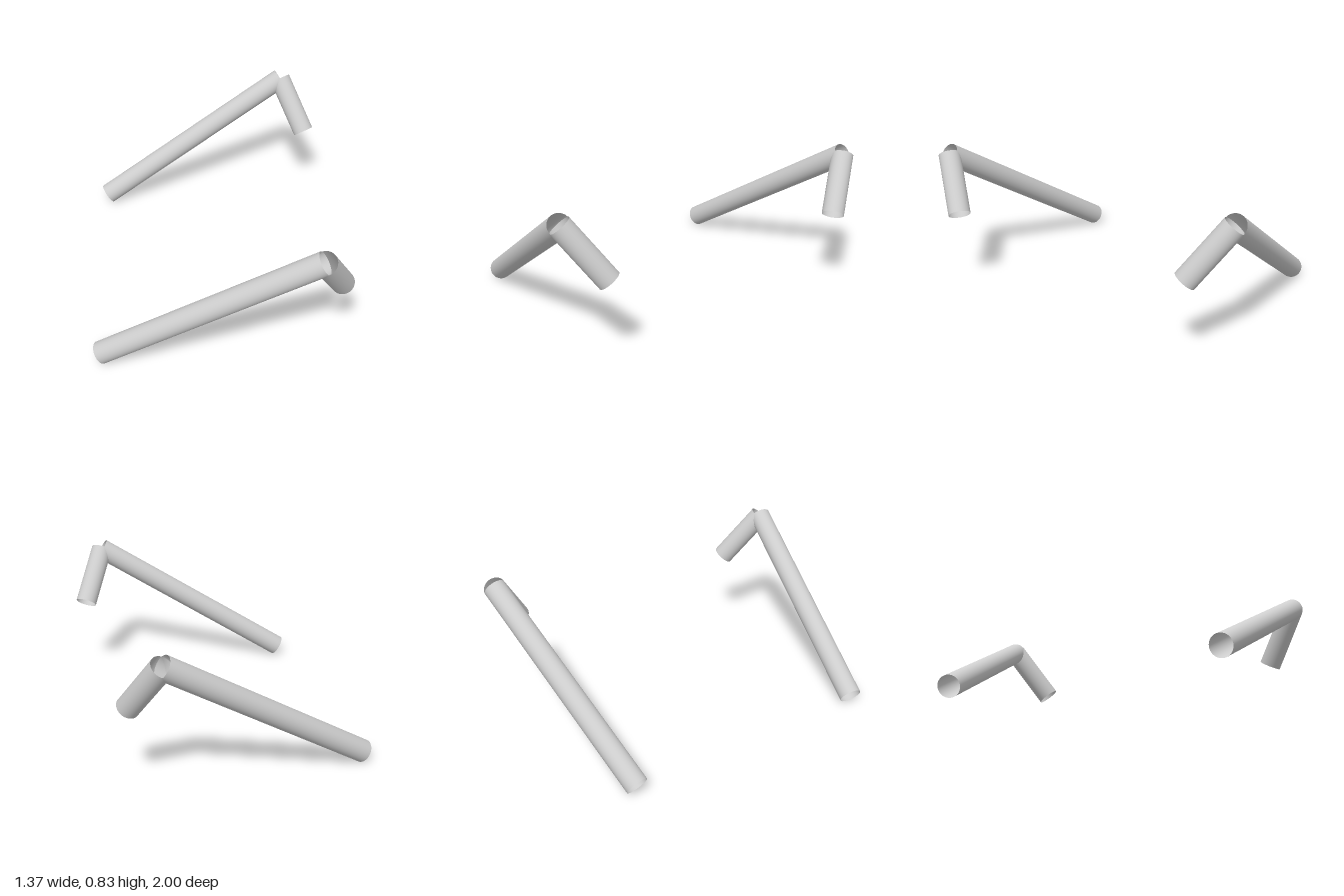
import * as THREE from 'three';

const RADIUS = 0.063;

// Open-ended straight tube between two points
function tube(name, from, to, material) {
  const dir = to.clone().sub(from);
  const geometry = new THREE.CylinderGeometry(RADIUS, RADIUS, dir.length(), 48, 1, true);
  const mesh = new THREE.Mesh(geometry, material);
  mesh.name = name;
  mesh.position.copy(from).add(to).multiplyScalar(0.5);
  mesh.quaternion.setFromUnitVectors(new THREE.Vector3(0, 1, 0), dir.normalize());
  return mesh;
}

export function createModel() {
  const model = new THREE.Group();
  model.name = 'bentTubePair';
  const grey = new THREE.MeshStandardMaterial({ color: 0xcccccc, side: THREE.DoubleSide });
  grey.name = 'light grey';

  // One bent arm on each side, mirrored in z
  for (const s of [1, -1]) {
    const arm = new THREE.Group();
    arm.name = s > 0 ? 'frontArm' : 'backArm';
    const foot = new THREE.Vector3(-0.655, 0.054, s * 0.745);
    const joint = new THREE.Vector3(0.486, 0.777, s * 0.937);
    const tip = new THREE.Vector3(0.627, 0.49, s * 0.75);
    arm.add(tube('longTube', foot, joint, grey), tube('shortTube', joint, tip, grey));
    model.add(arm);
  }
  return model;
}
